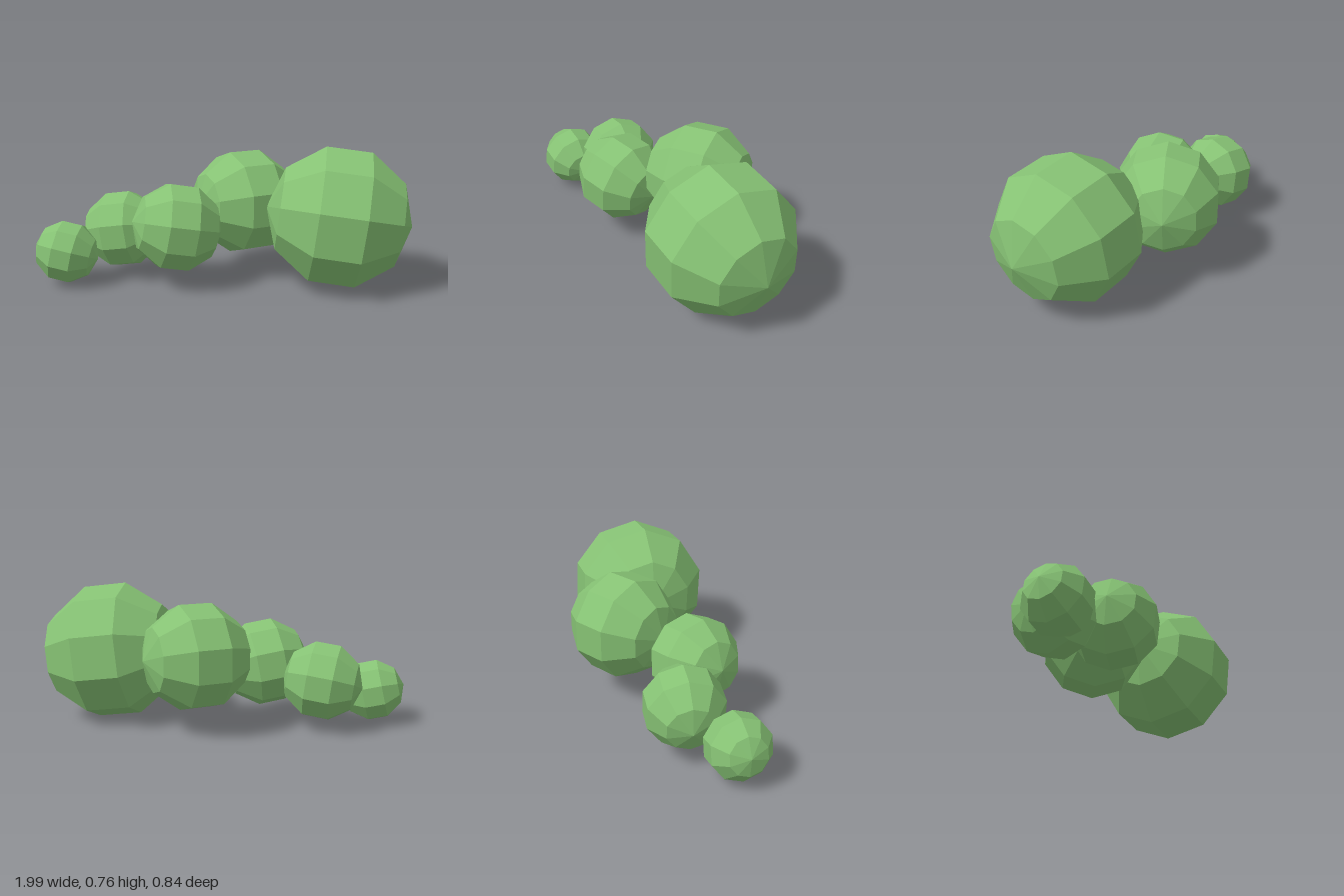
import * as THREE from 'three';

const deg = THREE.MathUtils.degToRad;

// Chain of faceted balls, largest first.
// yaw turns the +x pole towards -z, tilt raises it, spin rolls about the pole axis.
const BALLS = [
  { name: 'headBall', r: 0.386, at: [0.615, 0.388, 0.066], yaw: 0, tilt: -7, spin: 4.5 },
  { name: 'neckBall', r: 0.295, at: [0.1, 0.413, -0.148], yaw: 33, tilt: 0, spin: 0 },
  { name: 'middleBall', r: 0.242, at: [-0.235, 0.333, 0.152], yaw: 18, tilt: -10, spin: 6 },
  { name: 'rearBall', r: 0.216, at: [-0.56, 0.274, -0.007], yaw: -5, tilt: 8, spin: 0 },
  { name: 'tailBall', r: 0.171, at: [-0.83, 0.188, 0.177], yaw: 1, tilt: -13, spin: 0 },
];

export function createModel() {
  const group = new THREE.Group();
  group.name = 'ballChain';
  const leafGreen = new THREE.MeshStandardMaterial({ color: 0x86c274, flatShading: true });
  leafGreen.name = 'leafGreen';

  for (const { name, r, at, yaw, tilt, spin } of BALLS) {
    const geometry = new THREE.SphereGeometry(r, 10, 5);
    geometry.rotateZ(-Math.PI / 2); // poles lie along x
    geometry.rotateX(deg(spin)).rotateZ(deg(tilt)).rotateY(deg(yaw));
    const ball = new THREE.Mesh(geometry, leafGreen);
    ball.name = name;
    ball.position.set(...at);
    group.add(ball);
  }
  return group;
}
